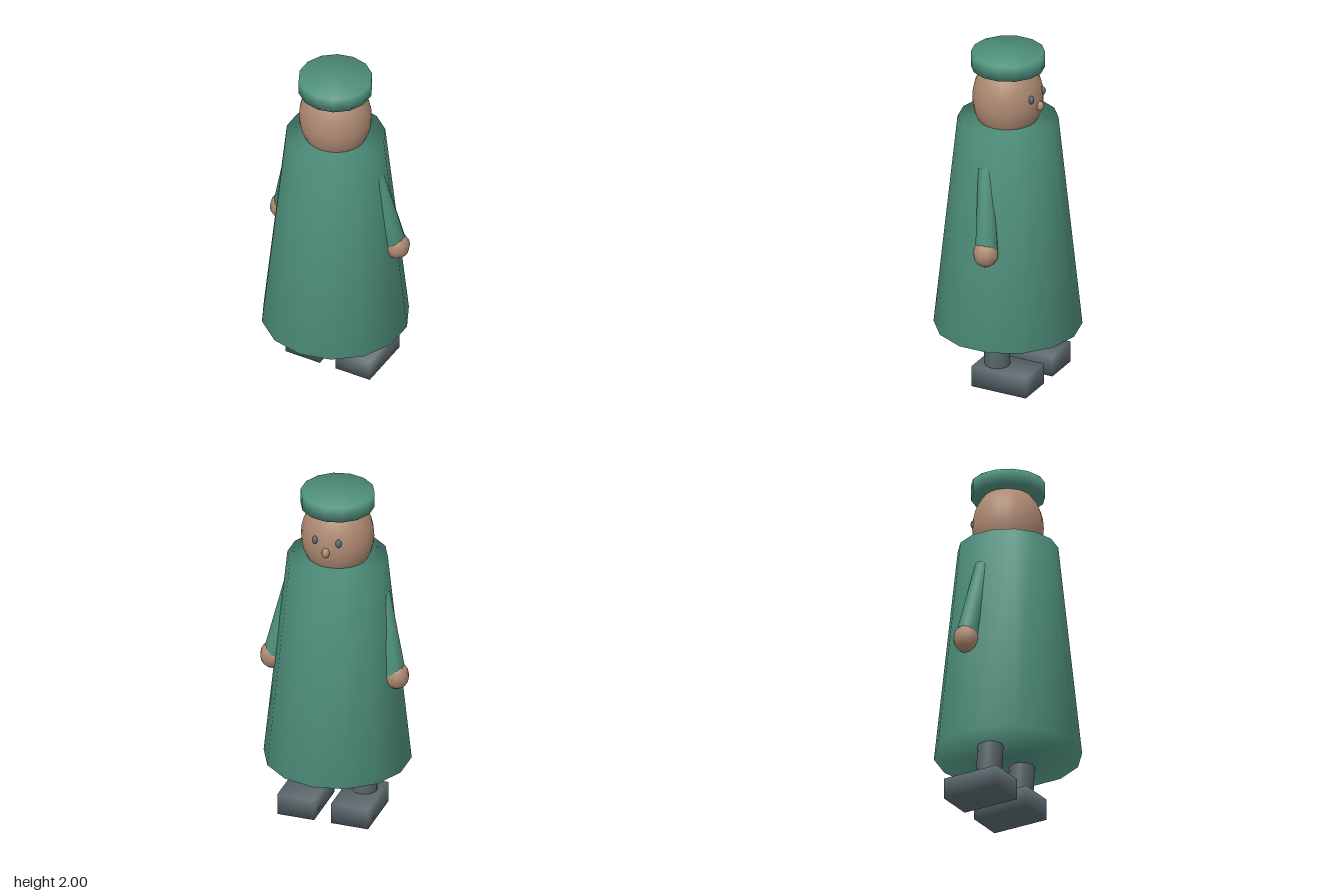
import * as THREE from 'three';
import { mergeVertices } from 'three/addons/utils/BufferGeometryUtils.js';

const paint = (color) => new THREE.MeshStandardMaterial({ color });

// Weld the corners so that shading runs smoothly over every edge
function weld(geometry) {
  geometry.deleteAttribute('normal');
  geometry.deleteAttribute('uv');
  const welded = mergeVertices(geometry, 1e-4);
  welded.computeVertexNormals();
  return welded;
}

export function createModel() {
  const model = new THREE.Group();
  model.name = 'robedFigure';
  const cloth = paint(0x4f917d);
  const skin = paint(0xae8a72);
  const dark = paint(0x5a676c);

  function add(name, geometry, material, x, y, z) {
    const mesh = new THREE.Mesh(geometry, material);
    mesh.name = name;
    mesh.position.set(x, y, z);
    model.add(mesh);
    return mesh;
  }

  function ball(name, material, centre, radii, across = 16, down = 12) {
    const geometry = new THREE.SphereGeometry(1, across, down).scale(...radii);
    return add(name, geometry, material, ...centre);
  }

  // Closed tapered limb running from one point to another
  function limb(name, material, top, bottom, topRadius, bottomRadius, sides) {
    const a = new THREE.Vector3(...top);
    const b = new THREE.Vector3(...bottom);
    const axis = a.clone().sub(b);
    const geometry = weld(new THREE.CylinderGeometry(topRadius, bottomRadius, axis.length(), sides));
    const centre = a.add(b).multiplyScalar(0.5);
    const mesh = add(name, geometry, material, centre.x, centre.y, centre.z);
    mesh.quaternion.setFromUnitVectors(new THREE.Vector3(0, 1, 0), axis.normalize());
  }

  // Robe, head and cap
  add('robe', weld(new THREE.CylinderGeometry(0.285, 0.42, 1.285, 14)), cloth, 0, 0.95, 0);
  ball('head', skin, [0, 1.725, 0], [0.208, 0.25, 0.2], 24, 16);
  add('cap', weld(new THREE.CylinderGeometry(0.21, 0.21, 0.09, 14)), cloth, 0, 1.955, 0);

  // Face
  ball('nose', skin, [0, 1.705, -0.205], [0.023, 0.03, 0.023], 10, 8);

  for (const [side, s] of [['left', 1], ['right', -1]]) {
    ball(side + 'Eye', dark, [s * 0.07, 1.767, -0.184], [0.018, 0.025, 0.018], 10, 8);

    // Arm
    limb(side + 'Sleeve', cloth, [s * 0.268, 1.39, 0], [s * 0.355, 0.925, -0.052], 0.044, 0.066, 10);
    ball(side + 'Hand', skin, [s * 0.37, 0.905, -0.052], [0.073, 0.08, 0.072], 10, 8);

    // Leg and boot
    limb(side + 'Leg', dark, [s * 0.168, 0.6, 0.005], [s * 0.17, 0.08, -0.025], 0.073, 0.073, 12);
    add(side + 'Boot', weld(new THREE.BoxGeometry(0.22, 0.125, 0.345)), dark, s * 0.161, 0.0625, -0.083);
  }
  return model;
}
